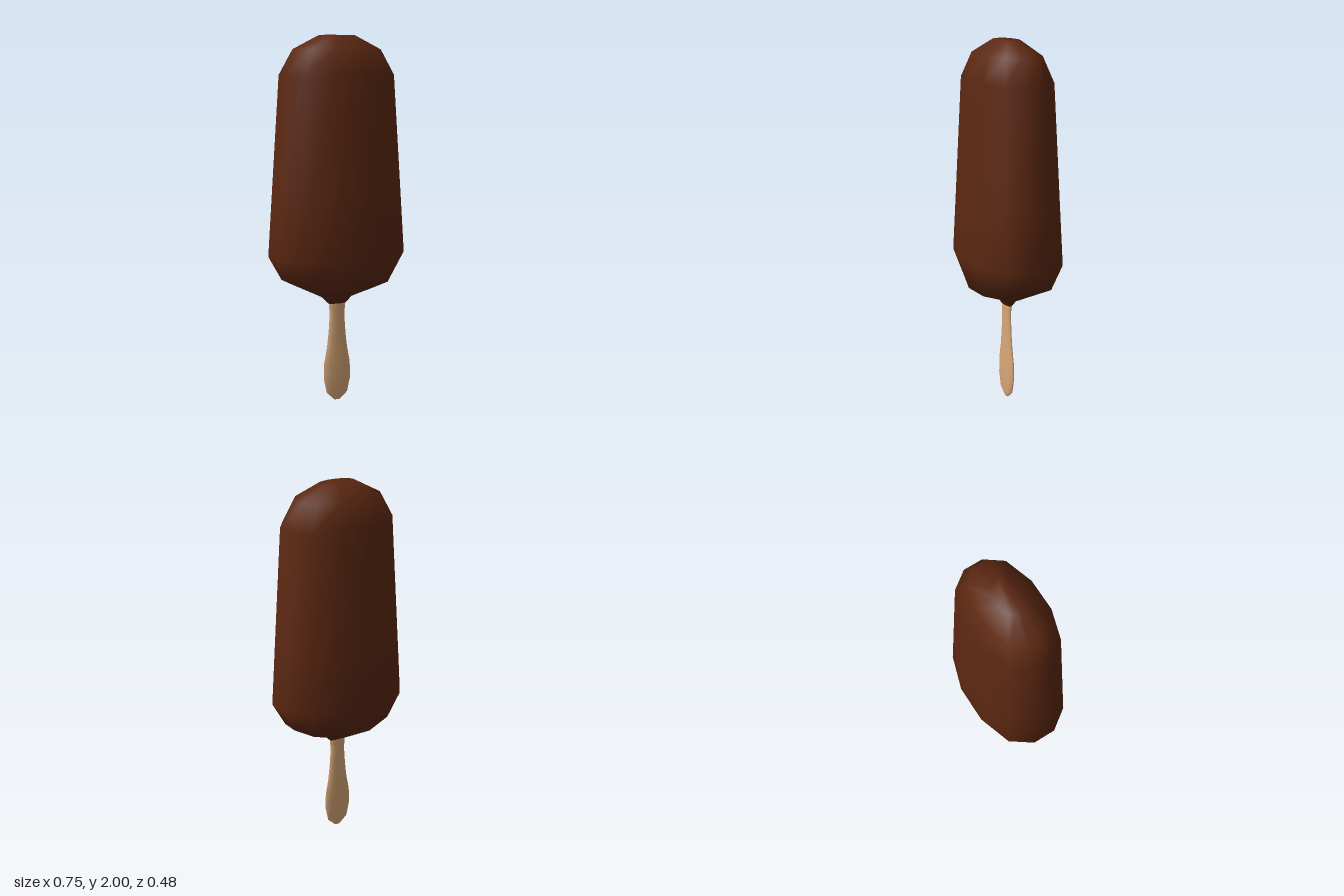
import * as THREE from 'three';

// Skin a stack of rings (each an array of [x, y, z]) with smooth normals and closed ends
function loft(rings) {
  const n = rings[0].length;
  const pos = rings.flat(2);
  const idx = [];
  for (let j = 0; j < rings.length - 1; j++) {
    for (let i = 0; i < n; i++) {
      const a = j * n + i, b = j * n + (i + 1) % n;
      idx.push(a, a + n, b, b, a + n, b + n);
    }
  }
  const top = (rings.length - 1) * n;
  for (let i = 1; i < n - 1; i++) {
    idx.push(0, i, i + 1);
    idx.push(top, top + i + 1, top + i);
  }
  const g = new THREE.BufferGeometry();
  g.setAttribute('position', new THREE.Float32BufferAttribute(pos, 3));
  g.setIndex(idx);
  g.computeVertexNormals();
  return g;
}

// Mirror one quarter outline into a full loop running from +x towards +z
function mirrorQuarter(q) {
  const r = [...q].reverse();
  return [
    ...q,
    ...r.map(([x, z]) => [-x, z]),
    ...q.map(([x, z]) => [-x, -z]),
    ...r.map(([x, z]) => [x, -z]),
  ];
}

// Rows are [y, half width, half depth, rise of the ring towards its sides]
function ringsFrom(outline, rows) {
  return rows.map(([y, w, d, rise = 0]) =>
    outline.map(([x, z]) => [x * w, y + rise * x * x, z * d]));
}

function part(name, geometry, color) {
  const mesh = new THREE.Mesh(geometry, new THREE.MeshStandardMaterial({ color }));
  mesh.name = name;
  return mesh;
}

export function createModel() {
  const group = new THREE.Group();
  group.name = 'iceCreamBar';

  // Twelve-sided chocolate shell, tapering upwards to a rounded top
  const shellOutline = mirrorQuarter([[1, 0.27], [0.78, 0.75], [0.28, 1]]);
  group.add(part('chocolateShell', loft(ringsFrom(shellOutline, [
    [0.545, 0.05, 0.016],
    [0.575, 0.09, 0.03, 0.01],
    [0.64, 0.306, 0.19, 0.05],
    [0.818, 0.376, 0.24],
    [1.12, 0.357, 0.225],
    [1.79, 0.314, 0.194],
    [1.925, 0.24, 0.146],
    [2.0, 0.098, 0.056],
  ])), 0x5c2812));

  // Flat wooden stick with a swollen grip
  const stickOutline = mirrorQuarter([[1, 0.35], [0.6, 0.9], [0.15, 1]]);
  group.add(part('stick', loft(ringsFrom(stickOutline, [
    [0, 0.016, 0.005],
    [0.04, 0.06, 0.011],
    [0.12, 0.077, 0.014],
    [0.21, 0.075, 0.014],
    [0.3, 0.058, 0.013],
    [0.38, 0.049, 0.012],
    [0.48, 0.042, 0.013],
    [0.52, 0.045, 0.013],
    [0.6, 0.05, 0.013],
  ])), 0xd9a878));

  return group;
}
